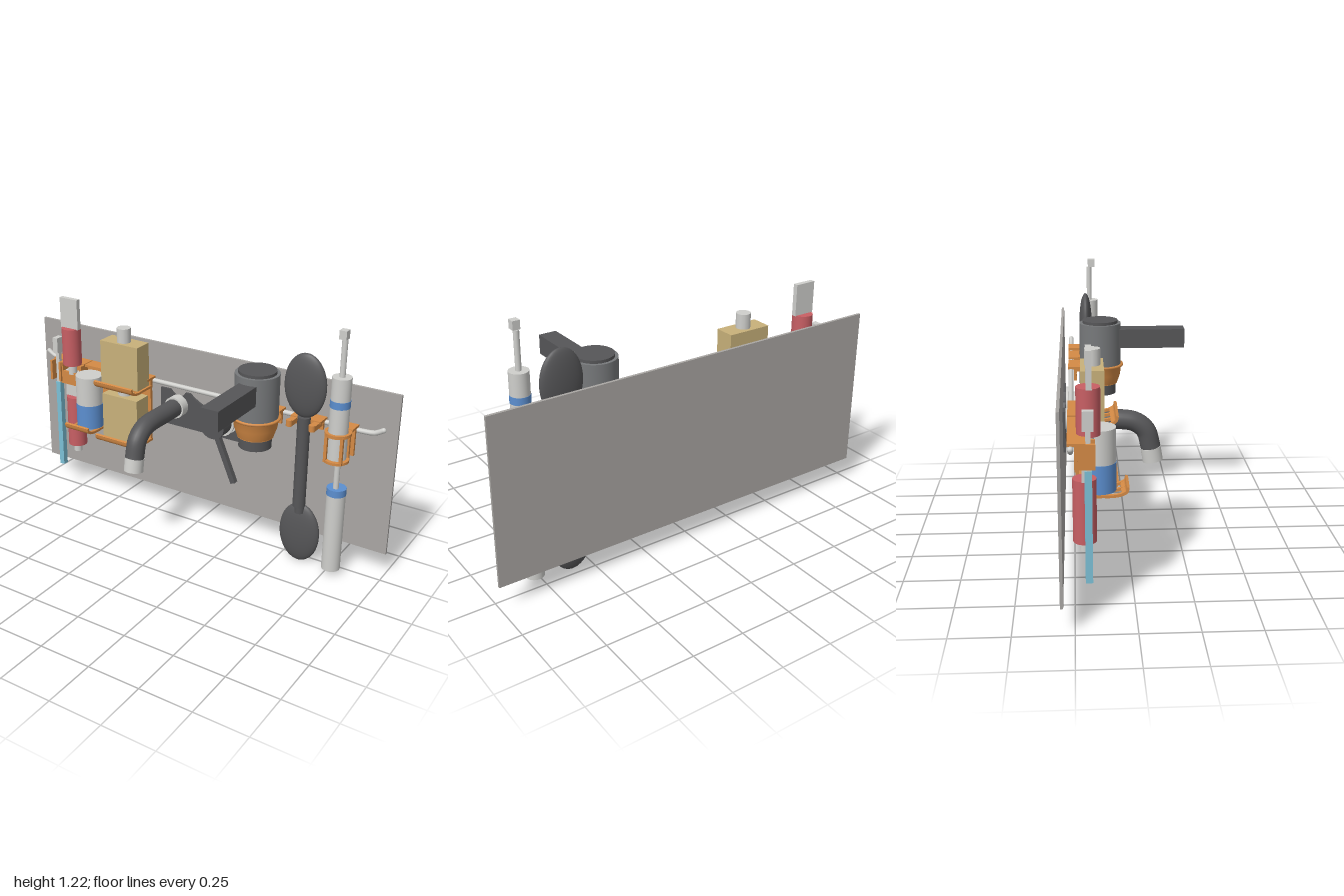
import * as THREE from 'three';

export function createModel() {
  const root = new THREE.Group();
  root.name = 'toolRail';
  const mat = (name, color, double) => {
    const m = new THREE.MeshStandardMaterial({ color });
    m.name = name;
    if (double) m.side = THREE.DoubleSide;
    return m;
  };
  const board = mat('board grey', 0xa9a6a3);
  const light = mat('pale metal', 0xcfcfcc);
  const dark = mat('dark grey', 0x565658);
  const mid = mat('mid grey', 0x77797b);
  const orange = mat('orange', 0xd48a45, true);
  const red = mat('red', 0xc85f64);
  const blue = mat('blue', 0x5c8fd0);
  const tan = mat('tan', 0xc8b17a);
  const cyan = mat('cyan', 0x7cc0d6);

  let parent = root;
  const group = (name) => {
    parent = new THREE.Group();
    parent.name = name;
    root.add(parent);
  };
  const add = (name, geo, m, x = 0, y = 0, z = 0) => {
    const mesh = new THREE.Mesh(geo, m);
    mesh.name = name;
    mesh.position.set(x, y, z);
    parent.add(mesh);
    return mesh;
  };
  // box given by its limits
  const box = (name, m, x0, x1, y0, y1, z0, z1) =>
    add(name, new THREE.BoxGeometry(x1 - x0, y1 - y0, z1 - z0), m, (x0 + x1) / 2, (y0 + y1) / 2, (z0 + z1) / 2);
  // upright cylinder given by its bottom and top
  const rod = (name, m, x, z, r, y0, y1, rBottom = r, seg = 32) =>
    add(name, new THREE.CylinderGeometry(r, rBottom, y1 - y0, seg), m, x, (y0 + y1) / 2, z);
  const disc = (name, m, x, y, r, z0, z1) => {
    const d = add(name, new THREE.CylinderGeometry(r, r, z1 - z0, 36), m, x, y, (z0 + z1) / 2);
    d.rotation.x = Math.PI / 2;
    return d;
  };
  // flat horizontal ring
  const ring = (name, m, x, z, rIn, rOut, y0, y1) => {
    const pts = [[rIn, y0], [rOut, y0], [rOut, y1], [rIn, y1], [rIn, y0]].map((p) => new THREE.Vector2(...p));
    const s = new THREE.Shape().absarc(0, 0, rOut, 0, Math.PI * 2);
    s.holes.push(new THREE.Path().absarc(0, 0, rIn, 0, Math.PI * 2, true));
    const geo = new THREE.ExtrudeGeometry(s, { depth: pts[2].y - pts[0].y, bevelEnabled: false, curveSegments: 24 });
    add(name, geo, m, x, y0, z).rotation.x = -Math.PI / 2;
    parent.children.at(-1).position.y = y1 - (y1 - y0);
  };

  // curled strip: a path in (z, y) thickened and extruded across x
  const curl = (name, x0, x1, points) => {
    const path = new THREE.CatmullRomCurve3(points.map(([z, y]) => new THREE.Vector3(z, y, 0)));
    const n = 20, t = 0.006, outer = [], inner = [];
    for (let i = 0; i <= n; i++) {
      const p = path.getPoint(i / n), d = path.getTangent(i / n);
      outer.push(new THREE.Vector2(p.x - d.y * t, p.y + d.x * t));
      inner.unshift(new THREE.Vector2(p.x + d.y * t, p.y - d.x * t));
    }
    const geo = new THREE.ExtrudeGeometry(new THREE.Shape([...outer, ...inner]), { depth: x1 - x0, bevelEnabled: false });
    add(name, geo, orange, x1).rotation.y = -Math.PI / 2;
  };

  // shelf with a curled front lip and gaps between its ribs
  const shelf = (x0, x1, y, zBack, zMid, zFront, ribs) => {
    const rise = 0.045;
    box('shelfBack', orange, x0, x1, y, y + 0.012, zBack, zMid);
    const w = 0.016;
    for (let i = 0; i < ribs; i++) {
      const x = x0 + ((x1 - x0 - w) * i) / (ribs - 1);
      curl('shelfRib', x, x + w, [[zMid - 0.01, y + 0.004], [zMid + (zFront - zMid) * 0.55, y + 0.01], [zFront - 0.012, y + 0.025], [zFront - 0.006, y + rise]]);
    }
    curl('shelfLip', x0, x1, [[zFront - 0.03, y + 0.012], [zFront - 0.012, y + 0.024], [zFront - 0.006, y + rise]]);
  };
  // clip that hooks over the rail
  const clip = (x0, x1, yLow = 0.7) => {
    box('railClipTop', orange, x0, x1, 0.738, 0.75, -0.272, -0.2);
    box('railClipFront', orange, x0, x1, yLow, 0.745, -0.244, -0.23);
  };

  group('backBoard');
  box('panel', board, -1, 1, 0.12, 0.92, -0.308, -0.295);

  group('rail');
  const railPath = new THREE.CatmullRomCurve3(
    [[-0.945, 0.755], [-0.91, 0.735], [-0.86, 0.729], [-0.8, 0.729], [0, 0.729], [0.8, 0.729], [0.86, 0.729], [0.91, 0.735], [0.945, 0.755]]
      .map(([x, y]) => new THREE.Vector3(x, y, -0.258)), false, 'chordal');
  add('railBar', new THREE.TubeGeometry(railPath, 90, 0.012, 10), light);
  for (const s of [-1, 1]) add('railEnd', new THREE.SphereGeometry(0.012, 12, 8), light, s * 0.945, 0.755, -0.258);

  group('wallPlate');
  const plate = new THREE.Shape();
  plate.moveTo(-0.247, 0.5);
  plate.lineTo(0.236, 0.5);
  plate.lineTo(0.236, 0.69);
  plate.lineTo(0.075, 0.69);
  plate.quadraticCurveTo(0.04, 0.66, 0, 0.645);
  plate.quadraticCurveTo(-0.04, 0.66, -0.075, 0.69);
  plate.lineTo(-0.1, 0.69);
  plate.quadraticCurveTo(-0.14, 0.63, -0.19, 0.69);
  plate.lineTo(-0.247, 0.69);
  add('plate', new THREE.ExtrudeGeometry(plate, { depth: 0.012, bevelEnabled: false }), dark, 0, 0, -0.295);

  // hose with a bent end
  group('hose');
  const hose = new THREE.CatmullRomCurve3(
    [[0.617, -0.255], [0.617, -0.13], [0.617, -0.02], [0.605, 0.035], [0.565, 0.083], [0.48, 0.108]]
      .map(([y, z]) => new THREE.Vector3(-0.138, y, z)));
  add('hoseTube', new THREE.TubeGeometry(hose, 40, 0.046, 24), dark);
  disc('hoseCollar', light, -0.138, 0.617, 0.055, -0.285, -0.235);
  add('nozzle', new THREE.CylinderGeometry(0.047, 0.047, 0.066, 28), light, -0.138, 0.45, 0.112).rotation.x = -0.17;

  // round filter holder with a slanted handle
  group('filterHolder');
  disc('baseFlange', light, 0.135, 0.617, 0.08, -0.283, -0.265);
  disc('neck', light, 0.135, 0.617, 0.055, -0.265, -0.235);
  disc('rim', light, 0.135, 0.617, 0.078, -0.235, -0.222);
  disc('basket', dark, 0.135, 0.617, 0.066, -0.222, -0.147);
  add('handle', new THREE.BoxGeometry(0.026, 0.24, 0.026), dark, 0.199, 0.443, -0.18).rotation.z = 0.41;

  // motor tool in its cup
  group('motorTool');
  const mx = 0.39, mz = -0.11;
  rod('base', dark, mx, mz, 0.077, 0.6, 0.67);
  const cup = [[0.085, 0.655], [0.1, 0.7], [0.105, 0.74], [0.114, 0.742], [0.114, 0.752], [0.1, 0.752]];
  add('cup', new THREE.LatheGeometry(cup.map((p) => new THREE.Vector2(...p)), 36), orange, mx, 0, mz);
  rod('cupFloor', orange, mx, mz, 0.085, 0.652, 0.66);
  rod('body', mid, mx, mz, 0.103, 0.74, 0.96);
  rod('cap', dark, mx, mz, 0.088, 0.96, 0.974);
  box('grip', dark, 0.348, 0.435, 0.836, 0.93, -0.02, 0.31);
  clip(0.32, 0.46, 0.68);
  box('cupArm', orange, 0.32, 0.46, 0.725, 0.745, -0.24, -0.195);

  // two-ended paddle
  group('paddle');
  for (const [y, z] of [[0.917, -0.18], [0.157, -0.208]])
    add('paddleBlade', new THREE.SphereGeometry(1, 32, 20), dark, 0.595, y, z).scale.set(0.103, 0.153, 0.032);
  rod('paddleGrip', dark, 0.595, -0.185, 0.03, 0.31, 0.765);
  rod('paddleNeck', dark, 0.595, -0.195, 0.023, 0.27, 0.31);
  clip(0.52, 0.67);
  for (const x of [0.525, 0.638]) {
    box('prong', orange, x, x + 0.028, 0.72, 0.745, -0.24, -0.15);
    rod('prongTip', orange, x + 0.014, -0.15, 0.015, 0.72, 0.75, 0.015, 16);
  }

  // pair of slim pumps in a cage
  group('pumps');
  const px = 0.775;
  rod('upperBarrel', light, px, -0.157, 0.044, 0.62, 1.005);
  rod('upperBand', blue, px, -0.157, 0.0455, 0.866, 0.9);
  rod('upperPlunger', light, px, -0.157, 0.013, 1.0, 1.18);
  box('upperTip', light, px - 0.017, px + 0.017, 1.18, 1.22, -0.163, -0.128);
  rod('lowerBarrel', light, px, -0.19, 0.044, 0.03, 0.425);
  rod('lowerBand', blue, px, -0.19, 0.0455, 0.422, 0.456);
  rod('lowerPlunger', light, px, -0.18, 0.013, 0.456, 0.63);
  ring('cageTop', orange, px, -0.157, 0.046, 0.06, 0.733, 0.748);
  ring('cageBottom', orange, px, -0.157, 0.03, 0.058, 0.605, 0.617);
  for (let i = 0; i < 4; i++) {
    const a = Math.PI / 4 + (i * Math.PI) / 2;
    const x = px + Math.cos(a) * 0.053, z = -0.157 + Math.sin(a) * 0.053;
    box('cagePost', orange, x - 0.007, x + 0.007, 0.605, 0.745, z - 0.007, z + 0.007);
  }
  clip(0.725, 0.825, 0.61);

  // tan cartons on two shelves
  group('cartons');
  box('upperCarton', tan, -0.493, -0.272, 0.715, 0.94, -0.215, -0.115);
  rod('upperCap', light, -0.383, -0.163, 0.035, 0.94, 1.012, 0.035, 12);
  box('lowerCarton', tan, -0.485, -0.275, 0.42, 0.662, -0.21, -0.11);
  rod('lowerCap', light, -0.383, -0.163, 0.035, 0.662, 0.7, 0.035, 12);
  box('cartonBack', orange, -0.496, -0.27, 0.41, 0.745, -0.24, -0.226);
  clip(-0.496, -0.27);
  shelf(-0.498, -0.268, 0.698, -0.24, -0.13, -0.055, 4);
  shelf(-0.498, -0.268, 0.407, -0.24, -0.13, -0.055, 4);

  // round can on its shelf
  group('can');
  rod('canTop', light, -0.59, -0.14, 0.069, 0.58, 0.73);
  rod('canBase', blue, -0.59, -0.14, 0.07, 0.455, 0.58);
  box('canBack', orange, -0.663, -0.517, 0.44, 0.745, -0.24, -0.226);
  clip(-0.663, -0.517);
  shelf(-0.663, -0.517, 0.443, -0.24, -0.11, -0.018, 3);

  // red-handled scrapers
  group('scrapers');
  const sx = -0.732;
  box('upperBlade', light, sx - 0.054, sx + 0.054, 0.94, 1.097, -0.196, -0.172);
  rod('upperHandle', red, sx, -0.187, 0.049, 0.745, 0.942);
  rod('upperTang', light, sx, -0.187, 0.022, 0.69, 0.745);
  box('lowerBlade', light, sx - 0.054, sx + 0.054, 0.56, 0.7, -0.216, -0.192);
  rod('lowerHandle', red, sx, -0.205, 0.049, 0.287, 0.56);
  rod('lowerTang', light, sx, -0.205, 0.022, 0.245, 0.287);
  clip(-0.865, -0.667, 0.635);
  box('scraperBar', orange, -0.8, -0.667, 0.63, 0.7, -0.185, -0.172);
  for (const x of [-0.8, -0.68]) box('scraperArm', orange, x, x + 0.013, 0.63, 0.745, -0.24, -0.172);

  // thin cyan brush
  group('brush');
  box('brushHandle', cyan, -0.84, -0.812, 0.147, 0.627, -0.205, -0.175);
  box('brushRod', light, -0.837, -0.815, 0.627, 0.8, -0.2, -0.18);
  box('brushHead', light, -0.842, -0.812, 0.79, 0.872, -0.213, -0.167);
  for (const x of [-0.862, -0.807]) box('brushArm', orange, x, x + 0.013, 0.64, 0.745, -0.24, -0.162);

  return root;
}
